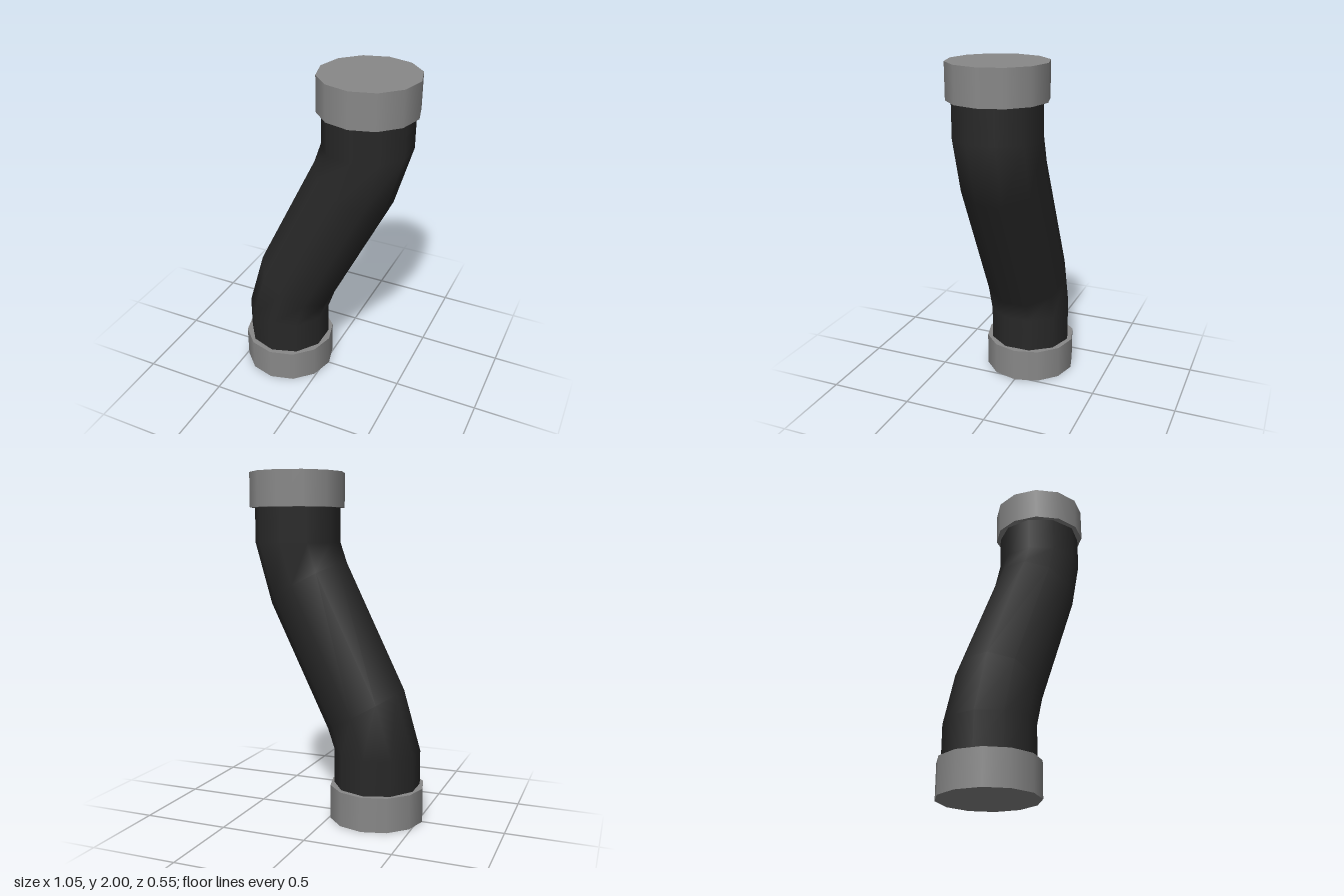
import * as THREE from 'three';

const collarGrey = new THREE.MeshStandardMaterial({ color: 0x888888 });
collarGrey.name = 'collarGrey';
const hoseBlack = new THREE.MeshStandardMaterial({ color: 0x282828, side: THREE.DoubleSide });
hoseBlack.name = 'hoseBlack';

// Ten-sided hose: each ring of a cylinder is tilted about z and moved to its place on the bend
function hoseGeometry(radius, rings) {
  const geometry = new THREE.CylinderGeometry(radius, radius, 1, 10, rings.length - 1, true);
  const position = geometry.attributes.position;
  const normal = geometry.attributes.normal;
  const axis = new THREE.Vector3(0, 0, 1);
  const v = new THREE.Vector3();
  for (let i = 0; i < position.count; i++) {
    const row = Math.round((position.getY(i) + 0.5) * (rings.length - 1));
    const [x, y, tilt] = rings[row];
    v.fromBufferAttribute(position, i).setY(0).applyAxisAngle(axis, tilt);
    position.setXYZ(i, v.x + x, v.y + y, v.z);
    v.fromBufferAttribute(normal, i).applyAxisAngle(axis, tilt);
    normal.setXYZ(i, v.x, v.y, v.z);
  }
  return geometry;
}

export function createModel() {
  const model = new THREE.Group();
  model.name = 'bentHose';

  // S-bent hose, bottom to top: x, y, tilt
  const hose = new THREE.Mesh(hoseGeometry(0.25, [
    [-0.25, 0.2, 0],
    [-0.25, 0.4, 0],
    [-0.178, 0.637, -0.515],
    [0.178, 1.363, -0.515],
    [0.25, 1.6, 0],
    [0.25, 1.8, 0],
  ]), hoseBlack);
  hose.name = 'hose';
  model.add(hose);

  // Twelve-sided end collars
  for (const [name, x, y] of [['bottomCollar', -0.25, 0.1], ['topCollar', 0.25, 1.9]]) {
    const collar = new THREE.Mesh(new THREE.CylinderGeometry(0.277, 0.277, 0.2, 12), collarGrey);
    collar.name = name;
    collar.position.set(x, y, 0);
    model.add(collar);
  }
  return model;
}
